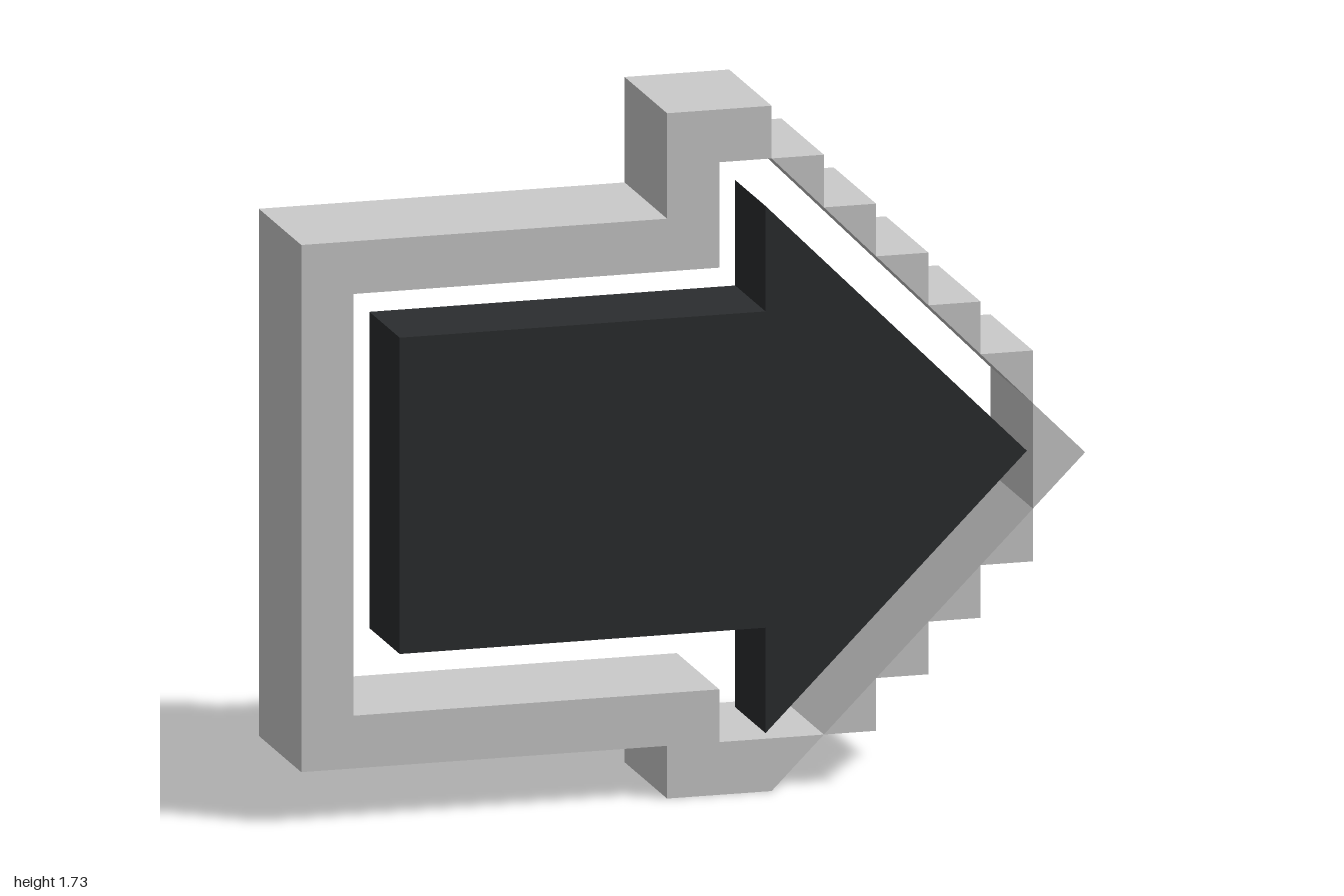
import * as THREE from 'three';

const U = 2 / 15; // module of the layout: the arrow is 15 modules long, 13 tall

export function createModel() {
  const group = new THREE.Group();
  const frameMat = new THREE.MeshStandardMaterial({ color: 0xcccccc, flatShading: true });
  const arrowMat = new THREE.MeshStandardMaterial({ color: 0x2b2d2f, flatShading: true });

  // Extrudes an outline given in modules, centred on z = 0
  function slab(name, points, halfDepth, material, parent = group) {
    const shape = new THREE.Shape(points.map(([x, y]) => new THREE.Vector2(x * U, y * U)));
    const geometry = new THREE.ExtrudeGeometry(shape, { depth: 2 * halfDepth * U, bevelEnabled: false });
    geometry.translate(0, 0, -halfDepth * U);
    const mesh = new THREE.Mesh(geometry, material);
    mesh.name = name;
    parent.add(mesh);
  }

  const FRAME = 1.4, ARROW = 1;

  // Solid inner arrow
  slab('innerArrow', [
    [-5.5, 3], [1.5, 3], [1.5, 1], [6.5, 6], [1.5, 11], [1.5, 9], [-5.5, 9],
  ], ARROW, arrowMat);

  // Bracket around the shaft, with a cut corner at the bottom
  slab('shaftFrame', [
    [-7.5, 1], [-0.5, 1], [-0.5, 0], [1.5, 0], [2.5, 1], [0.5, 1], [0.5, 2], [-6.5, 2],
    [-6.5, 10], [0.5, 10], [0.5, 12], [1.5, 12], [1.5, 13], [-0.5, 13], [-0.5, 11], [-7.5, 11],
  ], FRAME, frameMat);

  // Triangular steps along both edges of the head
  const steps = new THREE.Group();
  steps.name = 'headSteps';
  group.add(steps);
  for (let i = 0; i < 5; i++) {
    const x = 1.5 + i, y = 12 - i;
    slab('upperStep', [[x, y], [x + 1, y - 1], [x + 1, y]], FRAME, frameMat, steps);
    // the lowest step on the underside is replaced by the cut corner
    if (i > 0) slab('lowerStep', [[x, 12 - y], [x + 1, 12 - y], [x + 1, 13 - y]], FRAME, frameMat, steps);
  }

  // Pointed tip
  slab('tip', [[6.5, 5], [7.5, 6], [6.5, 7]], FRAME, frameMat);

  return group;
}
